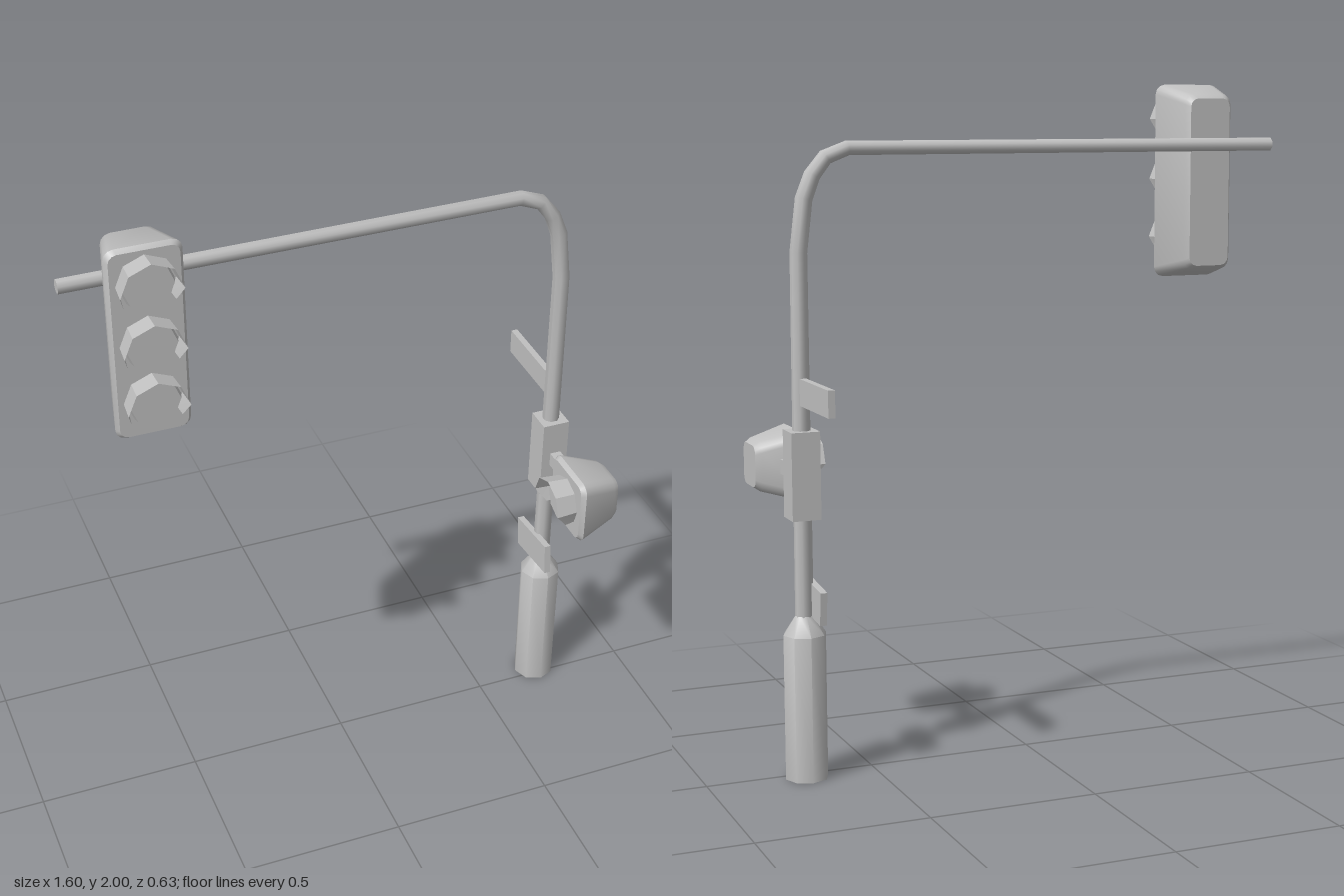
import * as THREE from 'three';
import { toCreasedNormals } from 'three/addons/utils/BufferGeometryUtils.js';

const metal = new THREE.MeshStandardMaterial({ color: 0xc0c0c0, side: THREE.DoubleSide });
metal.name = 'grey metal';

function part(name, geometry, x = 0, y = 0, z = 0) {
  const mesh = new THREE.Mesh(geometry, metal);
  mesh.name = name;
  mesh.position.set(x, y, z);
  return mesh;
}

// Skin a row of equal-length rings (counter-clockwise about the direction of travel) and cap both ends
function loft(rings, crease) {
  const n = rings[0].length, last = rings.length - 1, pos = [], index = [];
  for (const ring of rings) for (const p of ring) pos.push(p.x, p.y, p.z);
  for (let k = 0; k < last; k++) {
    for (let i = 0; i < n; i++) {
      const j = (i + 1) % n, a = k * n + i, b = k * n + j;
      index.push(a, b, b + n, a, b + n, a + n);
    }
  }
  for (let i = 1; i < n - 1; i++) {
    index.push(0, i + 1, i, last * n, last * n + i, last * n + i + 1);
  }
  const g = new THREE.BufferGeometry();
  g.setAttribute('position', new THREE.Float32BufferAttribute(pos, 3));
  g.setIndex(index);
  return toCreasedNormals(g, crease);
}

// Rounded rectangle ring at depth z
function roundedRing(hw, hh, r, z) {
  const ring = [];
  const corners = [[1, 1], [-1, 1], [-1, -1], [1, -1]];
  corners.forEach(([sx, sy], c) => {
    for (let s = 0; s <= 3; s++) {
      const a = (c + s / 3) * Math.PI / 2;
      ring.push(new THREE.Vector3(sx * (hw - r) + r * Math.cos(a), sy * (hh - r) + r * Math.sin(a), z));
    }
  });
  return ring;
}

// Open visor over the upper part of a lamp, cut back at its lower ends
function visorGeometry(r) {
  const degrees = [-35, 0, 45, 90, 135, 180, 215];
  const pos = [], index = [];
  degrees.forEach((d, i) => {
    const a = d * Math.PI / 180, c = Math.cos(a), s = Math.sin(a);
    const reach = d < 0 || d > 180 ? 0.03 : 0.065;
    pos.push(c * r, s * r, -0.005, c * r * 1.07, s * r * 1.07, reach);
    if (i) {
      const k = 2 * i;
      index.push(k - 2, k, k + 1, k - 2, k + 1, k - 1);
    }
  });
  const g = new THREE.BufferGeometry();
  g.setAttribute('position', new THREE.Float32BufferAttribute(pos, 3));
  g.setIndex(index);
  return toCreasedNormals(g, 0.5);
}

// Signal head facing +z, its back on z = 0
function signalHead(name, hw, hh, depth, lampYs, lampR) {
  const head = new THREE.Group();
  head.name = name;
  head.add(part('housing', loft([
    roundedRing(hw - 0.042, hh - 0.042, 0.025, 0),
    roundedRing(hw - 0.03, hh - 0.03, 0.03, 0.018),
    roundedRing(hw, hh, 0.03, depth - 0.014),
    roundedRing(hw - 0.01, hh - 0.01, 0.025, depth),
  ], 0.65)));
  for (const y of lampYs) {
    const lens = new THREE.CylinderGeometry(lampR * 0.88, lampR * 0.97, 0.03, 8).rotateX(Math.PI / 2);
    head.add(part('lens', toCreasedNormals(lens, 0.5), 0, y, depth + 0.01));
    head.add(part('visor', visorGeometry(lampR), 0, y, depth));
  }
  return head;
}

// Bent pole: vertical post curving into the horizontal arm, [x, y, radius]
function poleGeometry() {
  const path = [
    [0.708, 0.4, 0.027], [0.708, 1.53, 0.025], [0.69, 1.68, 0.025], [0.665, 1.745, 0.024],
    [0.625, 1.795, 0.023], [0.56, 1.82, 0.022], [-0.8, 1.82, 0.021],
  ];
  const rings = path.map(([x, y, r], i) => {
    const p = path[Math.max(i - 1, 0)], q = path[Math.min(i + 1, path.length - 1)];
    const before = new THREE.Vector2(x - p[0], y - p[1]).normalize();
    const after = new THREE.Vector2(q[0] - x, q[1] - y).normalize();
    const t = before.add(after).normalize();
    return Array.from({ length: 8 }, (_, k) => {
      const a = (k + 0.5) * Math.PI / 4, u = r * Math.cos(a);
      return new THREE.Vector3(x - t.y * u, y + t.x * u, r * Math.sin(a));
    });
  });
  return loft(rings, 0.9);
}

export function createModel() {
  const model = new THREE.Group();
  model.name = 'trafficLight';
  const px = 0.708, pz = -0.03;

  // Pole and base
  model.add(part('pole', poleGeometry(), 0, 0, pz));
  const profile = [[0, 0], [0.064, 0], [0.064, 0.43], [0.027, 0.485]].map(([x, y]) => new THREE.Vector2(x, y));
  model.add(part('base', toCreasedNormals(new THREE.LatheGeometry(profile, 8), 0.9), px, 0, pz));

  // Control box and bracket
  model.add(part('controlBox', new THREE.BoxGeometry(0.085, 0.255, 0.085), px, 0.897, pz));
  model.add(part('bracket', new THREE.BoxGeometry(0.034, 0.043, 0.13), px + 0.002, 0.897, 0.065));

  // Sign plates
  model.add(part('upperSign', new THREE.BoxGeometry(0.02, 0.077, 0.27), px, 1.137, -0.18));
  const lowerSign = part('lowerSign', new THREE.BoxGeometry(0.02, 0.098, 0.2), 0.681, 0.532, pz);
  lowerSign.rotation.x = -0.11;
  model.add(lowerSign);

  // Three-lamp head on the arm
  const main = signalHead('mainSignal', 0.108, 0.295, 0.17, [0.19, 0.005, -0.175], 0.082);
  main.position.set(-0.602, 1.705, -0.017);
  model.add(main);

  // Single-lamp head on the post, turned to the side
  const side = signalHead('sideSignal', 0.104, 0.104, 0.143, [0], 0.075);
  side.position.set(0.795, 0.893, 0.21);
  side.rotation.y = -Math.PI / 2;
  model.add(side);

  return model;
}
